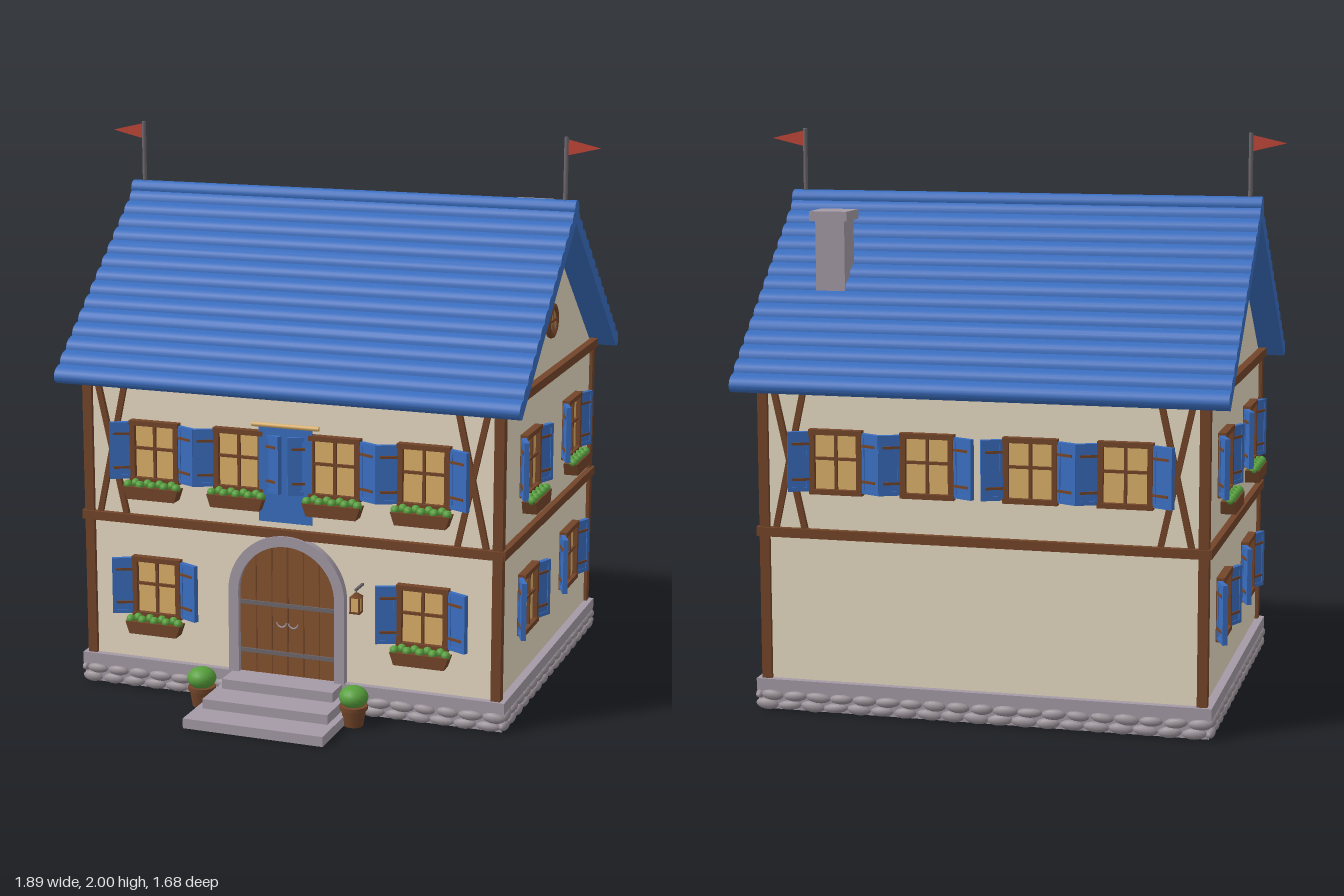
import * as THREE from 'three';
import { mergeGeometries, toCreasedNormals } from 'three/addons/utils/BufferGeometryUtils.js';

const mat = (name, color, side = THREE.FrontSide) => {
  const m = new THREE.MeshStandardMaterial({ color, side });
  m.name = name;
  return m;
};

export function createModel() {
  const plaster = mat('plaster', 0xebdfc6), timber = mat('timber', 0x734529), plank = mat('door wood', 0x85522e),
    blue = mat('blue paint', 0x3a6ec0, THREE.DoubleSide), stone = mat('stone', 0xa49aa6), cobble = mat('cobble', 0x9b9298),
    glass = mat('warm glass', 0xdcb069), red = mat('red cloth', 0xbe4436, THREE.DoubleSide),
    leaf = mat('leaves', 0x57a03c), iron = mat('iron', 0x6c676c);

  const model = new THREE.Group();
  const house = new THREE.Group();
  house.name = 'house';
  house.position.z = -0.13;
  model.add(house);

  const HX = 0.775, HZ = 0.615; // wall half width and half depth

  const add = (parent, name, geo, material, x = 0, y = 0, z = 0) => {
    const m = new THREE.Mesh(geo, material);
    m.name = name;
    m.position.set(x, y, z);
    parent.add(m);
    return m;
  };
  const box = (parent, name, material, w, h, d, x, y, z) =>
    add(parent, name, new THREE.BoxGeometry(w, h, d), material, x, y, z);
  const group = (parent, name, x = 0, y = 0, z = 0, ry = 0) => {
    const g = new THREE.Group();
    g.name = name;
    g.position.set(x, y, z);
    g.rotation.y = ry;
    parent.add(g);
    return g;
  };
  let seed = 7;
  const rnd = () => (seed = (seed * 16807) % 2147483647) / 2147483647;

  // One local frame for each wall: x along the wall, z outwards
  const front = group(house, 'frontWall', 0, 0, HZ, 0);
  const back = group(house, 'backWall', 0, 0, -HZ, Math.PI);
  const left = group(house, 'leftWall', HX, 0, 0, Math.PI / 2);
  const right = group(house, 'rightWall', -HX, 0, 0, -Math.PI / 2);
  const walls = [[front, HX], [back, HX], [left, HZ], [right, HZ]];

  // Plaster body and gable prism
  box(house, 'walls', plaster, 2 * HX, 1.05, 2 * HZ, 0, 0.635, 0);
  const gable = new THREE.Shape([[-HZ, 1.155], [HZ, 1.155], [0, 1.66]].map(p => new THREE.Vector2(...p)));
  add(house, 'gable', new THREE.ExtrudeGeometry(gable, { depth: 2 * HX - 0.01, bevelEnabled: false })
    .translate(0, 0, -HX + 0.005).rotateY(-Math.PI / 2), plaster);

  // Foundation with two rows of flat cobbles under a cap course
  box(house, 'foundationCore', stone, 1.59, 0.1, 1.26, 0, 0.051, 0);
  box(house, 'foundationCap', stone, 1.61, 0.042, 1.28, 0, 0.089, 0);
  for (const [wall, half] of walls) {
    const n = Math.round(half * 24), step = (2 * half + 0.05) / n, cobbles = [];
    for (let row = 0; row < 2; row++)
      for (let i = 0; i < n; i++)
        cobbles.push(new THREE.SphereGeometry(1, 12, 8)
          .scale(step * (0.46 + rnd() * 0.08), 0.017 + rnd() * 0.003, 0.017)
          .rotateZ((rnd() - 0.5) * 0.2)
          .translate((i + (row ? 0.62 : 0.38)) * step - half - 0.025, row ? 0.053 : 0.02, 0.022));
    add(wall, 'foundationCobbles', mergeGeometries(cobbles), cobble);
  }

  // Timber frame
  for (const sx of [-1, 1]) for (const sz of [-1, 1])
    box(house, 'cornerPost', timber, 0.035, 1.04, 0.035, sx * 0.77, 0.63, sz * 0.6125);
  for (const [wall, half] of walls) {
    box(wall, 'floorBeam', timber, 2 * half + 0.035, 0.032, 0.03, 0, 0.635, 0.008);
    box(wall, 'topBeam', timber, 2 * half + 0.035, 0.032, 0.03, 0, 1.145, 0.008);
  }
  for (const wall of [front, back]) for (const s of [-1, 1]) for (const t of [-1, 1])
    box(wall, 'crossBrace', timber, 0.021, 0.49, 0.018, s * 0.676, 0.89, t > 0 ? 0.006 : 0.003).rotation.z = t * 0.215;

  // Shuttered window, optionally with a flower box
  const boxShape = new THREE.Shape([[-0.092, 0], [0.092, 0], [0.107, 0.045], [-0.107, 0.045]].map(p => new THREE.Vector2(...p)));
  const addWindow = (wall, x, y, planter) => {
    const g = group(wall, 'window', x, y, 0);
    box(g, 'pane', glass, 0.17, 0.2, 0.012, 0, 0, 0.004);
    for (const s of [-1, 1]) {
      box(g, 'frameSide', timber, 0.018, 0.21, 0.03, s * 0.084, 0, 0.012);
      box(g, 'frameRail', timber, 0.19, 0.018, 0.034, 0, s * 0.104, 0.012);
      // Shutter swung slightly off the wall
      const h = group(g, 'shutter', s * 0.094, 0, 0.012, -s * 0.42);
      box(h, 'shutterPanel', blue, 0.078, 0.208, 0.012, s * 0.039, 0, 0);
      for (const t of [-1, 1]) {
        box(h, 'shutterStile', blue, 0.014, 0.208, 0.018, s * (0.039 + t * 0.032), 0, 0);
        box(h, 'shutterRail', blue, 0.078, 0.014, 0.018, s * 0.039, t * 0.097, 0);
        box(h, 'shutterHinge', timber, 0.064, 0.009, 0.021, s * 0.032, t * 0.062, 0);
      }
    }
    box(g, 'mullion', timber, 0.01, 0.2, 0.016, 0, 0, 0.012);
    box(g, 'glazingBar', timber, 0.16, 0.01, 0.016, 0, 0.012, 0.012);
    if (planter) {
      add(g, 'flowerBox', new THREE.ExtrudeGeometry(boxShape, { depth: 0.052, bevelEnabled: false }), timber, 0, -0.168, 0.012);
      const tufts = [];
      for (let i = 0; i < 9; i++)
        tufts.push(new THREE.SphereGeometry(0.017, 8, 6).translate((i - 4) * 0.0235, (i % 2) * 0.004, i % 2 ? 0.03 : 0.046));
      add(g, 'flowerBoxPlants', mergeGeometries(tufts), leaf, 0, -0.119, 0);
    }
  };
  for (const s of [-1, 1]) {
    addWindow(front, s * 0.505, 0.385, true);
    for (const x of [0.505, 0.18]) {
      addWindow(front, s * x, 0.89, true);
      addWindow(back, s * x, 0.89, false);
    }
    for (const wall of [left, right]) {
      addWindow(wall, s * 0.288, 0.385, false);
      addWindow(wall, s * 0.288, 0.89, true);
    }
  }

  // Round gable windows
  for (const wall of [left, right]) {
    const g = group(wall, 'gableWindow', 0, 1.34, 0);
    add(g, 'roundPane', new THREE.CylinderGeometry(0.052, 0.052, 0.012, 28).rotateX(Math.PI / 2), glass);
    add(g, 'roundFrame', new THREE.TorusGeometry(0.053, 0.012, 8, 32), timber, 0, 0, 0.004);
    box(g, 'roundMullion', timber, 0.008, 0.1, 0.012, 0, 0, 0.006);
    box(g, 'roundBar', timber, 0.1, 0.008, 0.012, 0, 0, 0.006);
  }

  // Roof slopes with gently rounded tile courses, plus ridge roll
  const slope = new THREE.Shape(), rows = 14;
  slope.moveTo(0, 1.695);
  slope.lineTo(0.672, 1.128);
  slope.quadraticCurveTo(0.7, 1.125, 0.708, 1.15);
  const edge = t => [0.708 * t, 1.748 - 0.598 * t];
  for (let i = rows; i > 0; i--) {
    const [cx, cy] = edge((i - 0.35) / rows), [ex, ey] = edge((i - 1) / rows);
    slope.quadraticCurveTo(cx + 0.017, cy + 0.021, ex, ey);
  }
  slope.closePath();
  const slopeGeo = toCreasedNormals(new THREE.ExtrudeGeometry(slope, { depth: 1.72, bevelEnabled: false, curveSegments: 6 })
    .translate(0, 0, -0.86).rotateY(-Math.PI / 2), 0.6);
  add(house, 'roofFront', slopeGeo, blue);
  add(house, 'roofBack', slopeGeo, blue).rotation.y = Math.PI;
  add(house, 'roofRidge', new THREE.CylinderGeometry(0.03, 0.03, 1.724, 16).rotateZ(Math.PI / 2), blue, 0, 1.748, 0);

  // Chimney
  box(house, 'chimneyShaft', stone, 0.106, 0.29, 0.106, 0.608, 1.56, -0.305);
  box(house, 'chimneyCap', stone, 0.136, 0.034, 0.136, 0.608, 1.711, -0.31);

  // Pennants on the ridge ends
  for (const s of [-1, 1]) {
    add(house, 'flagPole', new THREE.CylinderGeometry(0.008, 0.008, 0.25, 10), iron, s * 0.818, 1.875, 0);
    const cloth = new THREE.Shape([[0, 1.935], [s * 0.122, 1.964], [0, 1.992]].map(p => new THREE.Vector2(...p)));
    add(house, 'pennant', new THREE.ShapeGeometry(cloth), red, s * 0.822, 0, 0);
  }

  // Banner on a rod between the middle windows
  box(front, 'banner', blue, 0.2, 0.34, 0.006, 0, 0.85, 0.026);
  add(front, 'bannerRod', new THREE.CylinderGeometry(0.008, 0.008, 0.25, 10).rotateZ(Math.PI / 2), glass, 0, 1.028, 0.026);

  // Arched door
  const arch = (r, C) => {
    const s = new C();
    s.moveTo(-r, 0.11);
    s.lineTo(r, 0.11);
    s.lineTo(r, 0.41);
    s.absarc(0, 0.41, r, 0, Math.PI, false);
    s.closePath();
    return s;
  };
  const extrude = (s, depth) => toCreasedNormals(new THREE.ExtrudeGeometry(s, { depth, bevelEnabled: false, curveSegments: 24 }), 0.5);
  const surround = arch(0.22, THREE.Shape);
  surround.holes.push(arch(0.182, THREE.Path));
  add(front, 'doorSurround', extrude(surround, 0.03), stone);
  add(front, 'door', extrude(arch(0.183, THREE.Shape), 0.01), plank);
  for (let i = -2; i <= 2; i++) {
    const x = i * 0.06, top = 0.41 + Math.sqrt(0.182 ** 2 - x * x);
    box(front, 'plankGap', timber, i ? 0.004 : 0.007, top - 0.11, 0.004, x, (top + 0.11) / 2, 0.01);
  }
  for (const y of [0.19, 0.37]) box(front, 'doorBand', iron, 0.36, 0.015, 0.01, 0, y, 0.011);
  for (const s of [-1, 1])
    add(front, 'doorRing', new THREE.TorusGeometry(0.018, 0.003, 6, 12, Math.PI).rotateZ(Math.PI), stone, s * 0.022, 0.308, 0.015);

  // Steps
  [[0.42, 0.09, 0.605], [0.47, 0.053, 0.725], [0.52, 0.018, 0.84]].forEach(([w, y, zEnd]) =>
    box(model, 'step', stone, w, 0.036, zEnd - 0.48, 0, y, (zEnd + 0.48) / 2));

  // Potted bushes beside the steps
  for (const s of [-1, 1]) {
    const g = group(model, 'pottedBush', s * 0.288, 0, 0.605);
    add(g, 'pot', new THREE.CylinderGeometry(0.046, 0.034, 0.07, 16), timber, 0, 0.035, 0);
    add(g, 'potRim', new THREE.CylinderGeometry(0.05, 0.05, 0.014, 16), timber, 0, 0.067, 0);
    add(g, 'bush', new THREE.SphereGeometry(0.052, 16, 12).scale(1, 0.76, 1), leaf, 0, 0.104, 0);
  }

  // Hanging lantern
  const lamp = group(front, 'lantern', 0.278, 0.425, 0.068);
  box(lamp, 'lanternGlass', glass, 0.03, 0.05, 0.03, 0, 0, 0);
  for (const sx of [-1, 1]) for (const sz of [-1, 1])
    box(lamp, 'lanternPost', timber, 0.005, 0.056, 0.005, sx * 0.016, 0, sz * 0.016);
  box(lamp, 'lanternBase', timber, 0.038, 0.007, 0.038, 0, -0.028, 0);
  add(lamp, 'lanternRoof', new THREE.CylinderGeometry(0.006, 0.03, 0.016, 4).rotateY(Math.PI / 4), timber, 0, 0.034, 0);
  box(lamp, 'lanternHook', iron, 0.005, 0.016, 0.005, 0, 0.046, 0);
  box(lamp, 'lanternBracket', iron, 0.008, 0.008, 0.08, 0, 0.053, -0.034);

  return model;
}
